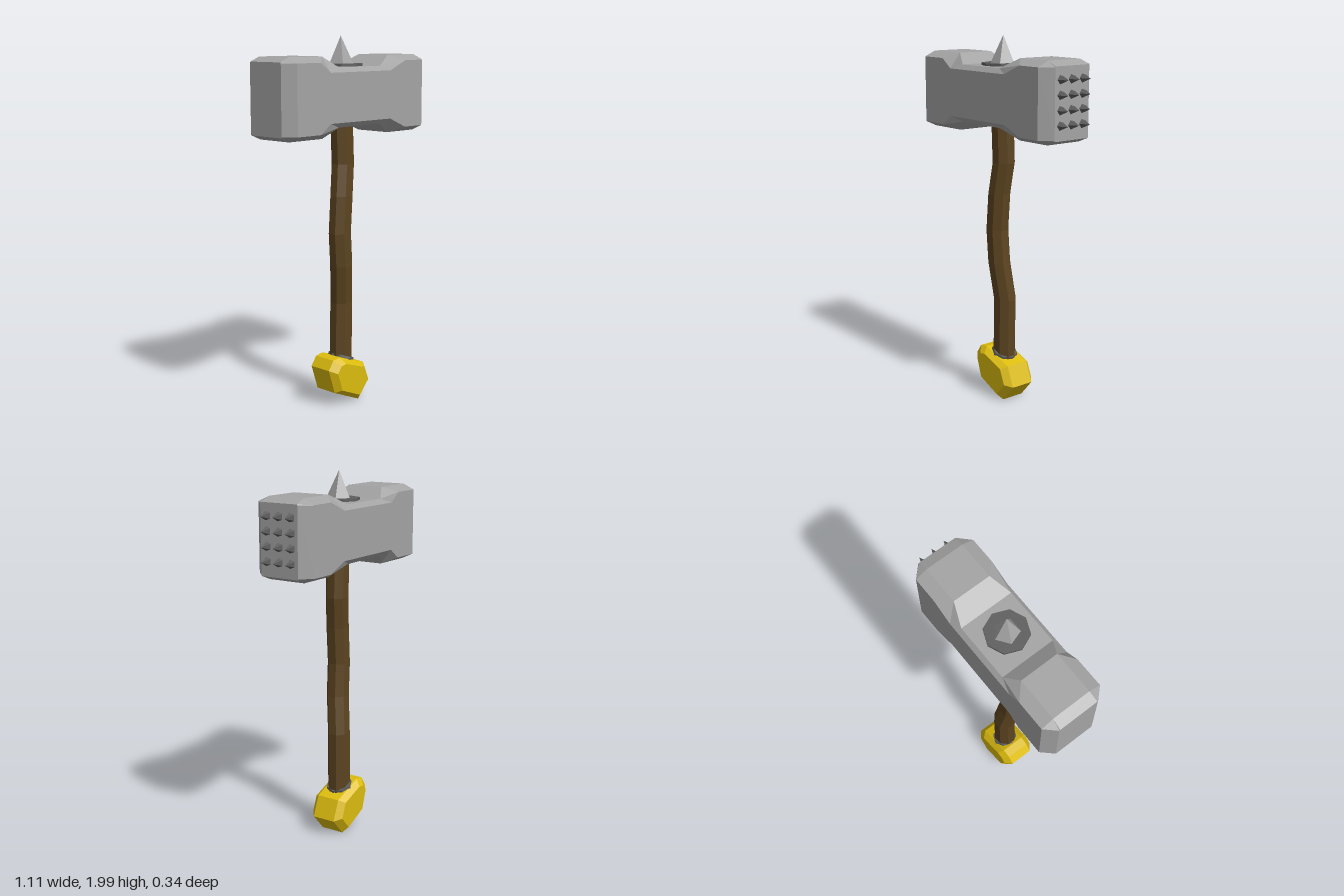
import * as THREE from 'three';
import { ConvexGeometry } from 'three/addons/geometries/ConvexGeometry.js';

const mat = (name, color) => {
  const m = new THREE.MeshStandardMaterial({ color, flatShading: true });
  m.name = name;
  return m;
};

// Skin a list of equal-length loops, running right-handed about the loft direction, and cap both ends.
function loft(loops) {
  const n = loops[0].length, last = loops.length - 1, pos = [], idx = [];
  loops.forEach(l => l.forEach(p => pos.push(...p)));
  for (let i = 0; i < last; i++) for (let j = 0; j < n; j++) {
    const a = i * n + j, b = i * n + (j + 1) % n;
    idx.push(a, b, b + n, a, b + n, a + n);
  }
  for (let j = 1; j < n - 1; j++) {
    idx.push(0, j + 1, j);
    idx.push(last * n, last * n + j, last * n + j + 1);
  }
  const g = new THREE.BufferGeometry();
  g.setAttribute('position', new THREE.Float32BufferAttribute(pos, 3));
  g.setIndex(idx);
  const flat = g.toNonIndexed();
  flat.computeVertexNormals();
  return flat;
}

export function createModel() {
  const model = new THREE.Group();
  const steel = mat('steel', 0xa4a4a4);
  const darkIron = mat('dark iron', 0x5e5e5e);
  const wood = mat('wood', 0x5c4420);
  const gold = mat('gold', 0xdcbc0e);
  const add = (name, geometry, material, x = 0, y = 0, z = 0, parent = model) => {
    const m = new THREE.Mesh(geometry, material);
    m.name = name;
    m.position.set(x, y, z);
    parent.add(m);
    return m;
  };

  // Hammer head: chamfered sections with a narrower waist.
  // [x of top edge, x of side edge, half height, top half width, side half height, side half width]
  const sections = [
    [-0.555, -0.555, 0.183, 0.108, 0.178, 0.112],
    [-0.5, -0.5, 0.207, 0.105, 0.178, 0.17],
    [-0.27, -0.34, 0.207, 0.105, 0.178, 0.17],
    [-0.19, -0.27, 0.152, 0.148, 0.127, 0.17],
    [0.12, 0.18, 0.152, 0.148, 0.127, 0.17],
    [0.23, 0.3, 0.207, 0.105, 0.178, 0.17],
    [0.44, 0.44, 0.207, 0.105, 0.178, 0.17],
    [0.5, 0.5, 0.183, 0.108, 0.178, 0.112],
  ];
  add('hammerHead', loft(sections.map(([xt, xs, t, a, s, b]) => [
    [xt, t, -a], [xt, t, a], [xs, s, b], [xs, -s, b],
    [xt, -t, a], [xt, -t, -a], [xs, -s, -b], [xs, s, -b],
  ])), steel, 0, 1.692, 0);

  // Top spike on its plate
  add('spikePlate', new THREE.CylinderGeometry(0.113, 0.113, 0.03, 8), darkIron, -0.027, 1.842, 0.006);
  add('topSpike', new THREE.ConeGeometry(0.07, 0.15, 5), steel, -0.027, 1.925, 0.004).rotation.y = Math.PI;

  // Rows of small spikes on the striking face
  const studs = new THREE.Group();
  studs.name = 'faceSpikes';
  model.add(studs);
  const stud = new THREE.ConeGeometry(0.028, 0.06, 5);
  stud.rotateZ(-Math.PI / 2);
  for (let row = 0; row < 4; row++) for (let col = -1; col <= 1; col++) {
    add('faceSpike', stud, darkIron, 0.522, 1.585 + row * 0.075, col * 0.073, studs);
  }

  // Crooked wooden handle: [centre x, y, centre z]
  const spine = [
    [-0.025, 0.2, 0.002], [-0.02, 0.57, 0], [-0.042, 0.78, 0.022], [-0.055, 0.96, 0.024],
    [-0.04, 1.16, 0.022], [-0.017, 1.33, 0.01], [-0.027, 1.57, 0.01],
  ];
  add('handle', loft(spine.map(([x, y, z]) => Array.from({ length: 8 }, (_, j) => {
    const t = (j + 0.5) * Math.PI / 4;
    return [x + 0.067 * Math.sin(t), y, z + 0.06 * Math.cos(t)];
  }))), wood);

  // Tilted collar where the handle meets the pommel
  add('pommelCollar', new THREE.CylinderGeometry(0.07, 0.075, 0.04, 8), darkIron, -0.027, 0.249, 0)
    .rotation.z = -0.36;

  // Faceted pommel: an outline with a smaller copy on the front and back
  const outline = [[-0.185, 0.225], [-0.15, 0.275], [-0.1, 0.282], [0.085, 0.215], [0.13, 0.105], [0.045, 0.01], [-0.14, 0.09]];
  const cx = -0.025, cy = 0.147, points = [];
  for (const side of [-1, 1]) for (const [x, y] of outline) {
    points.push(new THREE.Vector3(x, y, side * 0.066));
    points.push(new THREE.Vector3(cx + (x - cx) * 0.75, cy + (y - cy) * 0.75, side * 0.098));
  }
  add('pommel', new ConvexGeometry(points), gold);

  return model;
}
